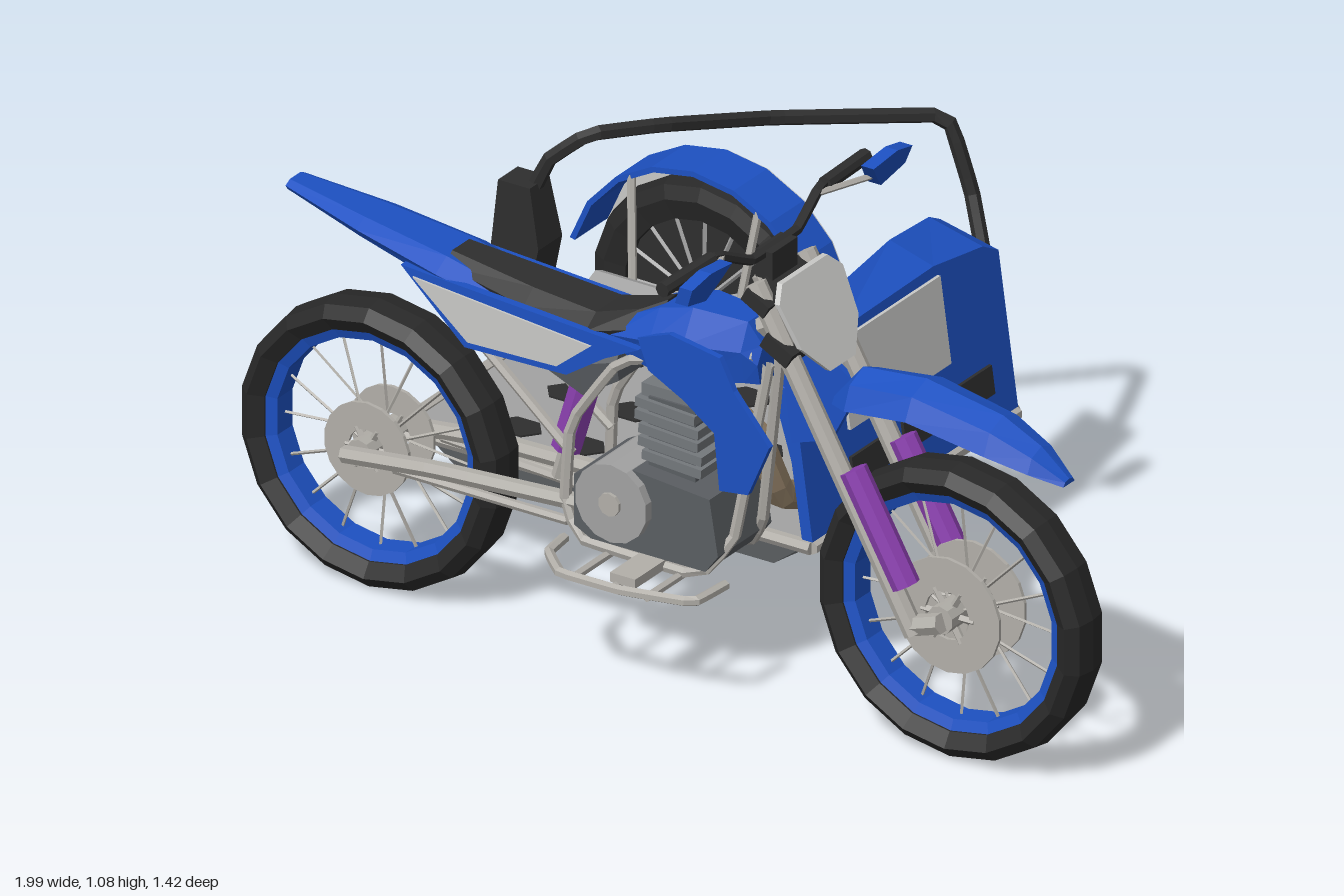
import * as THREE from 'three';

const paint = (name, color) => {
  const m = new THREE.MeshStandardMaterial({ color, side: THREE.DoubleSide });
  m.name = name;
  return m;
};

export function createModel() {
  const blue = paint('blue', 0x1d51c2), rubber = paint('rubber black', 0x282828), trim = paint('trim black', 0x2e2e2e);
  const dark = paint('dark grey', 0x5a5e62), iron = paint('iron grey', 0x74787c), floorGrey = paint('floor grey', 0xa2a2a2);
  const pale = paint('pale grey', 0xc8c8c6), silver = paint('silver', 0xb2afa9), purple = paint('purple', 0x8a3fae), tan = paint('tan', 0x948168);

  const model = new THREE.Group();
  const bike = new THREE.Group();
  bike.name = 'motorcycle';
  bike.position.z = 0.317;
  const sidecar = new THREE.Group();
  sidecar.name = 'sidecar';
  model.add(bike, sidecar);

  // Helpers: faceted mesh, rod, bent tube, box, loft, side plate
  const add = (parent, name, geo, mat) => {
    const g = geo.index ? geo.toNonIndexed() : geo;
    g.computeVertexNormals();
    const m = new THREE.Mesh(g, mat);
    m.name = name;
    parent.add(m);
    return m;
  };
  const V = (p) => new THREE.Vector3(...p);
  const rod = (parent, name, a, b, r, mat, seg = 6) => {
    const A = V(a), B = V(b), d = B.clone().sub(A);
    const m = add(parent, name, new THREE.CylinderGeometry(r, r, d.length(), seg), mat);
    m.position.copy(A).add(B).multiplyScalar(0.5);
    m.quaternion.setFromUnitVectors(new THREE.Vector3(0, 1, 0), d.normalize());
    return m;
  };
  const tube = (parent, name, pts, r, mat, seg = 6) => {
    const path = new THREE.CatmullRomCurve3(pts.map(V), false, 'catmullrom', 0.08);
    return add(parent, name, new THREE.TubeGeometry(path, pts.length * 4, r, seg), mat);
  };
  const box = (parent, name, [w, h, d], [x, y, z], mat, rz = 0) => {
    const m = add(parent, name, new THREE.BoxGeometry(w, h, d), mat);
    m.position.set(x, y, z);
    m.rotation.z = rz;
    return m;
  };
  const loft = (parent, name, sections, mat) => {
    const n = sections[0].length, last = (sections.length - 1) * n, idx = [];
    for (let s = 0; s < sections.length - 1; s++)
      for (let i = 0; i < n; i++) {
        const a = s * n + i, b = s * n + (i + 1) % n;
        idx.push(a, b, a + n, b, b + n, a + n);
      }
    for (let i = 1; i < n - 1; i++) idx.push(0, i + 1, i, last, last + i, last + i + 1);
    const g = new THREE.BufferGeometry();
    g.setAttribute('position', new THREE.Float32BufferAttribute(sections.flat(2), 3));
    g.setIndex(idx);
    return add(parent, name, g, mat);
  };
  const plate = (parent, name, pts, z, t, mat, flare = 0) => {
    const g = new THREE.ExtrudeGeometry(new THREE.Shape(pts.map((p) => new THREE.Vector2(...p))), { depth: t, bevelEnabled: false });
    const p = g.attributes.position;
    for (let i = 0; i < p.count; i++) p.setZ(i, p.getZ(i) + z - t / 2 + flare * p.getX(i));
    return add(parent, name, g, mat);
  };
  const body = (name, rows, mat) => loft(bike, name, rows.map(([x, lo, hi, w]) => {
    const mid = lo + (hi - lo) * 0.55;
    return [[x, lo, -w * 0.8], [x, mid, -w], [x, hi, -w * 0.55], [x, hi, w * 0.55], [x, mid, w], [x, lo, w * 0.8]];
  }), mat);
  const ring = (parent, name, profile, mat, seg = 18) => {
    const g = new THREE.LatheGeometry([...profile, profile[0]].map((p) => new THREE.Vector2(...p)), seg);
    return add(parent, name, g.rotateX(Math.PI / 2), mat);
  };

  // Spoked wheels with brake discs
  const wheel = (name, x, y, R, disc) => {
    const w = new THREE.Group();
    w.name = name;
    w.position.set(x, y, 0);
    bike.add(w);
    ring(w, 'tyre', [[R - 0.06, -0.04], [R - 0.03, -0.06], [R - 0.006, -0.04], [R, 0], [R - 0.006, 0.04], [R - 0.03, 0.06], [R - 0.06, 0.04]], rubber);
    ring(w, 'rim', [[R - 0.055, -0.038], [R - 0.055, 0.038], [R - 0.082, 0.027], [R - 0.082, -0.027]], blue);
    rod(w, 'hub', [0, 0, -0.075], [0, 0, 0.075], 0.03, silver, 10);
    for (let i = 0; i < 16; i++) {
      const a = i * Math.PI / 8, s = i % 2 ? 0.03 : -0.03;
      rod(w, 'spoke', [0.03 * Math.cos(a), 0.03 * Math.sin(a), s], [(R - 0.07) * Math.cos(a), (R - 0.07) * Math.sin(a), 0], 0.0035, silver, 4);
    }
    for (const s of [-0.045, 0.045]) {
      ring(w, 'brake disc', [[disc, s - 0.004], [disc, s + 0.004], [disc * 0.42, s + 0.004], [disc * 0.42, s - 0.004]], silver);
      for (let i = 0; i < 6; i++) {
        const a = i * Math.PI / 3;
        rod(w, 'disc arm', [0, 0, s], [disc * 0.5 * Math.cos(a), disc * 0.5 * Math.sin(a), s], 0.008, silver, 4);
      }
    }
  };
  wheel('front wheel', 0.68, 0.323, 0.317, 0.124);
  wheel('rear wheel', -0.69, 0.314, 0.31, 0.1);

  // Bodywork
  body('tank', [[-0.1, 0.7, 0.76, 0.07], [0, 0.68, 0.81, 0.085], [0.08, 0.68, 0.832, 0.085], [0.2, 0.7, 0.828, 0.06], [0.23, 0.7, 0.78, 0.045]], blue);
  body('seat', [[-0.5, 0.74, 0.793, 0.055], [-0.3, 0.71, 0.772, 0.078], [-0.15, 0.7, 0.76, 0.083], [-0.05, 0.71, 0.79, 0.065], [0, 0.75, 0.815, 0.03]], trim);
  body('tail', [[-0.89, 0.82, 0.838, 0.035], [-0.7, 0.78, 0.815, 0.07], [-0.5, 0.735, 0.788, 0.09], [-0.3, 0.69, 0.735, 0.08]], blue);
  const fender = [[0.395, 0.7, 0.72, 0.03], [0.45, 0.715, 0.785, 0.07], [0.6, 0.735, 0.8, 0.078], [0.78, 0.705, 0.768, 0.07], [0.87, 0.682, 0.725, 0.05], [0.935, 0.66, 0.672, 0.02]];
  loft(bike, 'front fender', fender.map(([x, lo, hi, w]) =>
    [[x, lo, -w], [x, lo + (hi - lo) * 0.7, -w * 0.7], [x, hi, 0], [x, lo + (hi - lo) * 0.7, w * 0.7], [x, lo, w], [x, lo + (hi - lo) * 0.6, 0]]), blue);
  body('airbox', [[-0.27, 0.6, 0.7, 0.05], [-0.18, 0.57, 0.7, 0.06], [-0.1, 0.62, 0.7, 0.05]], dark);

  // Crankcase, cylinder and fins
  plate(bike, 'crankcase', [[-0.17, 0.31], [-0.13, 0.29], [0.14, 0.29], [0.17, 0.33], [0.15, 0.45], [-0.08, 0.47], [-0.17, 0.42]], 0, 0.19, dark);
  for (let i = 0; i < 5; i++) box(bike, 'cylinder fin', [0.14 + (i % 2) * 0.01, 0.02, 0.13], [0.04 - i * 0.004, 0.485 + i * 0.028, 0], iron, -0.06);
  box(bike, 'cylinder', [0.11, 0.17, 0.11], [0.035, 0.53, 0], dark);
  box(bike, 'cylinder head', [0.11, 0.035, 0.1], [0.015, 0.62, 0], iron);
  rod(bike, 'clutch cover', [-0.07, 0.39, -0.115], [-0.07, 0.39, 0.115], 0.085, floorGrey, 14);
  rod(bike, 'clutch cap', [-0.07, 0.39, -0.122], [-0.07, 0.39, 0.122], 0.025, silver, 10);
  rod(bike, 'rear shock', [-0.25, 0.42, 0], [-0.205, 0.57, 0], 0.032, purple, 8);
  rod(bike, 'rear shock rod', [-0.27, 0.35, 0], [-0.19, 0.63, 0], 0.014, silver);
  box(bike, 'foot board', [0.06, 0.02, 0.4], [0.015, 0.28, 0], silver);

  // Paired parts
  const guard = [[0.39, 1.07], [0.33, 1.085], [0.25, 1.075], [0.28, 1.04], [0.31, 1.01], [0.385, 1.03]];
  for (const s of [-1, 1]) {
    plate(bike, 'tank shroud', [[-0.03, 0.75], [0.06, 0.79], [0.2, 0.79], [0.24, 0.73], [0.34, 0.645], [0.28, 0.52], [0.2, 0.5], [0.185, 0.62], [0.1, 0.66], [0, 0.69]], s * 0.08, 0.014, blue, s * 0.24);
    plate(bike, 'side panel', [[-0.58, 0.765], [-0.02, 0.73], [-0.1, 0.69], [-0.19, 0.63], [-0.43, 0.625]], s * 0.083, 0.018, blue);
    plate(bike, 'side number plate', [[-0.55, 0.748], [-0.13, 0.71], [-0.21, 0.645], [-0.42, 0.64]], s * 0.094, 0.006, pale);
    rod(bike, 'fork tube', [0.255, 0.95, s * 0.088], [0.63, 0.285, s * 0.088], 0.022, silver, 8);
    rod(bike, 'fork sleeve', [0.485, 0.605, s * 0.088], [0.61, 0.385, s * 0.088], 0.029, purple, 8);
    rod(bike, 'fork foot', [0.62, 0.3, s * 0.085], [0.69, 0.323, s * 0.085], 0.022, silver);
    tube(bike, 'swingarm', [[-0.72, 0.31, s * 0.085], [-0.5, 0.335, s * 0.085], [-0.12, 0.35, s * 0.07]], 0.018, silver);
    rod(bike, 'swingarm brace', [-0.6, 0.31, s * 0.085], [-0.2, 0.3, s * 0.07], 0.01, silver);
    tube(bike, 'frame rail', [[0.22, 0.76, s * 0.04], [-0.08, 0.68, s * 0.06], [-0.19, 0.52, s * 0.075], [-0.2, 0.34, s * 0.08], [-0.15, 0.28, s * 0.09], [0.12, 0.275, s * 0.09], [0.18, 0.36, s * 0.05], [0.24, 0.74, s * 0.02]], 0.012, silver);
    rod(bike, 'seat stay', [-0.45, 0.66, s * 0.06], [-0.19, 0.45, s * 0.07], 0.011, silver);
    rod(bike, 'hand lever', [0.23, 1.035, s * 0.17], [0.275, 1.035, s * 0.29], 0.007, silver, 5);
    loft(bike, 'hand guard', [0, 0.03].map((t) => guard.map(([z, y]) => [0.255 + (y - 1.01) * 0.35 + t, y, s * z])), blue);
    rod(bike, 'grip', [0.225, 1.04, s * 0.2], [0.215, 1.035, s * 0.36], 0.016, trim, 8);
  }

  // Steering
  box(bike, 'upper clamp', [0.06, 0.03, 0.23], [0.27, 0.92, 0], trim, -0.5);
  box(bike, 'lower clamp', [0.07, 0.035, 0.23], [0.32, 0.83, 0], trim, -0.5);
  rod(bike, 'steering head', [0.22, 0.93, 0], [0.29, 0.8, 0], 0.03, silver, 8);
  rod(bike, 'head tube', [0.18, 0.79, 0], [0.3, 0.86, 0], 0.022, silver);
  box(bike, 'bar mount', [0.04, 0.06, 0.09], [0.245, 0.97, 0], trim);
  tube(bike, 'handlebar', [[0.22, 1.04, -0.23], [0.225, 1.04, -0.18], [0.24, 0.995, -0.08], [0.24, 0.993, 0.08], [0.225, 1.04, 0.18], [0.22, 1.04, 0.23]], 0.011, trim);
  const plateOutline = [[-0.08, 0.96], [0.08, 0.96], [0.112, 0.93], [0.1, 0.84], [0.045, 0.78], [-0.045, 0.78], [-0.1, 0.84], [-0.112, 0.93]];
  loft(bike, 'front number plate', [0, 0.012].map((t) => plateOutline.map(([z, y]) => [0.3 + (0.96 - y) * 0.5 + t, y, z])), pale);

  // Sidecar tub and perforated floor
  loft(sidecar, 'tub', [[-0.74, 0.25], [-0.64, 0.175], [0.1, 0.175], [0.21, 0.25]].map(([x, lo]) =>
    [[x, lo, -0.45], [x, 0.262, -0.53], [x, 0.262, 0.15], [x, lo, 0.11]]), iron);
  box(sidecar, 'floor', [0.95, 0.012, 0.72], [-0.275, 0.266, -0.19], floorGrey);
  for (let i = 0; i < 4; i++)
    for (let j = 0; j < 3; j++)
      for (const y of [0.273, 0.174]) {
        const hole = add(sidecar, 'floor opening', new THREE.CylinderGeometry(0.053, 0.053, 0.006, 6).rotateY(Math.PI / 2), trim);
        hole.position.set(-0.54 + i * 0.15, y, -0.31 + j * 0.18);
        hole.scale.z = 0.74;
      }
  const corners = [[-0.745, -0.52], [-0.72, -0.555], [0.23, -0.555], [0.23, 0.17], [-0.72, 0.17], [-0.745, 0.14]];
  corners.forEach(([x, z], i) => {
    const [x2, z2] = corners[(i + 1) % corners.length];
    rod(sidecar, 'floor rail', [x, 0.268, z], [x2, 0.268, z2], 0.015, silver);
  });

  // Side steps and connecting struts
  const step = (pts) => tube(sidecar, 'side step', pts.map(([x, z]) => [x, 0.268, z]), 0.011, silver);
  step([[-0.2, 0.4], [-0.19, 0.47], [-0.12, 0.535], [0.02, 0.535], [0.17, 0.5], [0.18, 0.4]]);
  step([[-0.17, -0.55], [-0.11, -0.66], [-0.08, -0.67], [0.01, -0.67], [0.03, -0.65], [0.06, -0.55]]);
  for (const x of [-0.09, 0, 0.08]) rod(sidecar, 'cross tube', [x, 0.265, 0.53], [x, 0.265, 0.1], 0.009, silver);
  for (const x of [-0.08, 0]) rod(sidecar, 'step tube', [x, 0.265, -0.55], [x, 0.265, -0.67], 0.008, silver);
  rod(sidecar, 'rear strut', [-0.38, 0.62, 0.26], [-0.16, 0.27, -0.54], 0.012, silver);
  rod(sidecar, 'front strut', [-0.1, 0.66, 0.27], [-0.13, 0.27, -0.1], 0.012, silver);

  // Front screen: steep sheet with its top folded back, and inset plates
  const face = (y) => 0.238 - (y - 0.28) * 0.14;
  const crest = [[-0.55, 0.645], [-0.5, 0.672], [-0.33, 0.697], [0, 0.693], [0.12, 0.66], [0.178, 0.62]];
  loft(sidecar, 'front screen', crest.map(([z, top]) => {
    const fold = top - 0.03, back = 0.12 + 0.12 * z;
    return [[face(0.285), 0.285, z], [face(fold), fold, z], [back, top, z], [back, top - 0.02, z], [face(fold) - 0.025, fold - 0.02, z], [face(0.285) - 0.025, 0.285, z]];
  }), blue);
  const inset = (name, z, w, lo, hi, mat) => loft(sidecar, name, [z - w / 2, z + w / 2].map((k) =>
    [[face(lo), lo, k], [face(hi), hi, k], [face(hi) + 0.007, hi, k], [face(lo) + 0.007, lo, k]]), mat);
  inset('screen number plate', -0.162, 0.357, 0.46, 0.645, pale);
  for (const z of [-0.04, -0.223, -0.408]) inset('screen vent', z, 0.128, 0.345, 0.405, trim);

  // Grab rail and back pad
  tube(sidecar, 'grab rail', [[-0.46, 0.8, 0.17], [-0.4, 0.94, 0.155], [-0.33, 1, 0.12], [-0.25, 0.985, -0.02], [-0.18, 0.905, -0.3], [0.03, 0.86, -0.565], [0.06, 0.84, -0.58], [0.1, 0.7, -0.592], [0.16, 0.555, -0.555]], 0.016, trim);
  loft(sidecar, 'back pad', [[0.65, -0.52, -0.42, 0.11], [0.76, -0.505, -0.395, 0.115], [0.89, -0.49, -0.415, 0.13]].map(([y, a, b, z]) =>
    [[a, y, z], [b, y, z], [b, y, 0.2], [a, y, 0.2]]), trim);

  // Exhaust
  tube(sidecar, 'exhaust pipe', [[0.08, 0.6, 0.3], [0.15, 0.55, 0.26], [0.17, 0.38, 0.19], [0.14, 0.315, 0.05], [0.1, 0.31, -0.13], [0.01, 0.31, -0.3], [-0.13, 0.31, -0.43], [-0.25, 0.31, -0.475], [-0.4, 0.31, -0.488]], 0.03, tan, 7);
  rod(sidecar, 'muffler', [-0.4, 0.31, -0.488], [-0.72, 0.31, -0.49], 0.037, floorGrey, 8);

  // Sidecar wheel with solid outer cover and arched fender
  const side = new THREE.Group();
  side.name = 'sidecar wheel';
  side.position.set(-0.555, 0.268, -0.645);
  sidecar.add(side);
  ring(side, 'tyre', [[0.18, -0.03], [0.225, -0.042], [0.253, -0.03], [0.261, 0], [0.253, 0.03], [0.225, 0.042], [0.18, 0.03]], rubber);
  rod(side, 'wheel cover', [0, 0, -0.046], [0, 0, -0.03], 0.2, silver, 18);
  rod(side, 'inner disc', [0, 0, -0.03], [0, 0, 0.01], 0.19, trim, 18);
  for (let i = 0; i < 16; i++) {
    const a = i * Math.PI / 8;
    rod(side, 'inner spoke', [0, 0, 0.02], [0.185 * Math.cos(a), 0.185 * Math.sin(a), 0.014], 0.005, floorGrey, 4);
  }
  rod(side, 'axle', [0, 0, -0.052], [0, 0, 0.1], 0.02, silver, 8);
  const arch = (name, r0, r1, z0, z1, mat) => {
    const rows = [];
    for (let i = 0; i <= 8; i++) {
      const a = (15 + i * 18.75) * Math.PI / 180, c = Math.cos(a), s = Math.sin(a);
      rows.push([[r0 * c, r0 * s, z0], [r1 * c, r1 * s, z0], [r1 * c, r1 * s, z1], [r0 * c, r0 * s, z1]]);
    }
    loft(side, name, rows, mat);
  };
  arch('sidecar fender', 0.288, 0.3, -0.06, 0.058, blue);
  arch('fender side', 0.215, 0.297, -0.066, -0.059, pale);
  for (const x of [-0.15, 0.15]) rod(side, 'fender stay', [x, 0.25, 0.05], [x * 0.8, 0, 0.09], 0.009, silver);

  return model;
}
